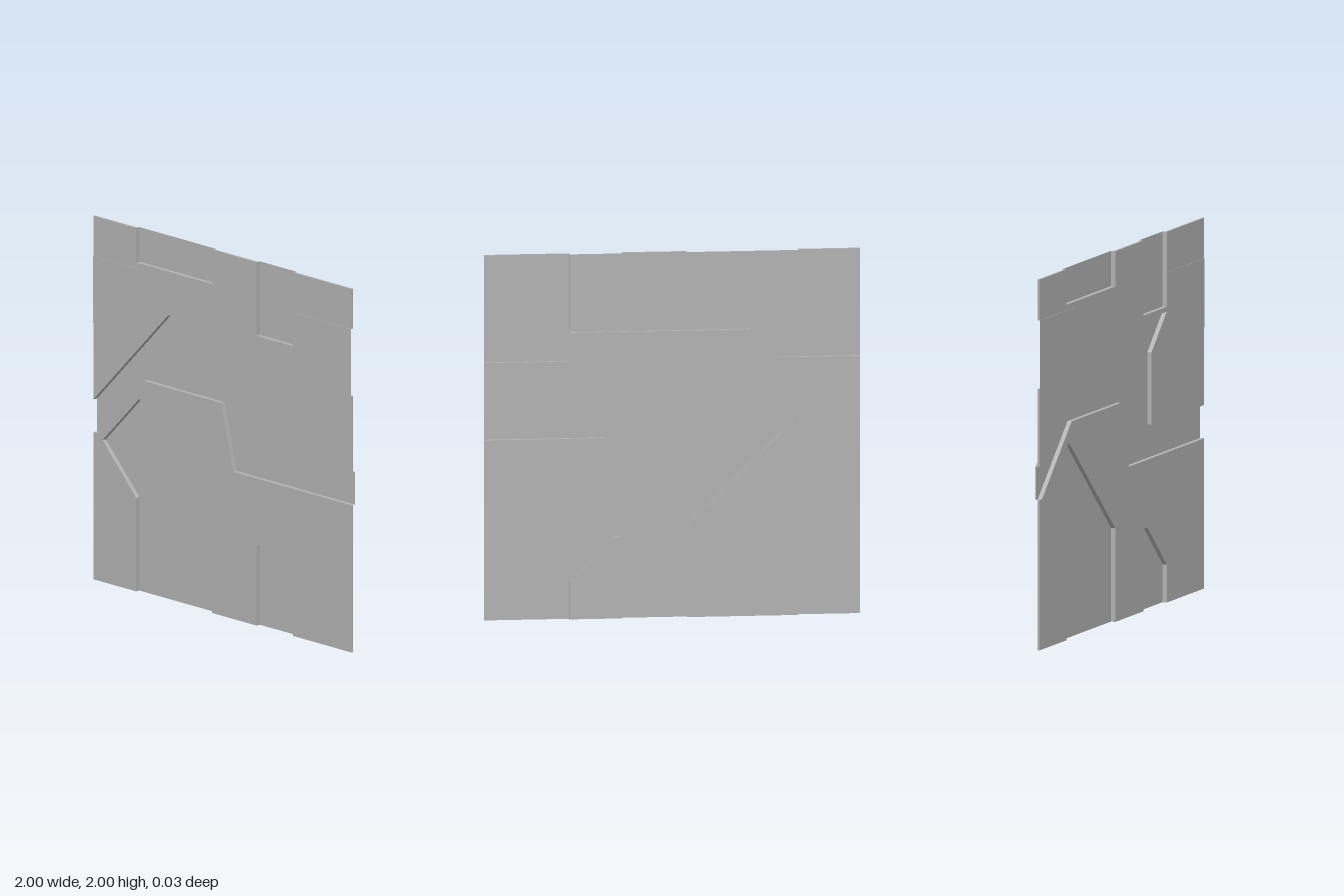
import * as THREE from 'three';

// Depth levels of the pressed panel
const FRONT = 0.0135, BASE_FRONT = 0.011, BASE_BACK = 0, BACK = -0.0135;

// Solid base plates between the pressed areas
const basePlates = {
  leftTriangle: [[-1, 0.99], [-0.58, 1.41], [-1, 1.41]],
  upperPlate: [[-1, 2], [-1, 1.78], [-0.58, 1.78], [-0.58, 1.41], [-0.42, 1.57], [0.545, 1.57], [0.545, 1.595],
    [0.265, 1.595], [0.265, 2], [-0.08, 2], [-0.08, 1.81], [-0.67, 1.81], [-0.67, 2]],
  upperCornerPlate: [[0.545, 1.78], [1, 1.78], [1, 2], [0.545, 2]],
  sidePlate: [[0.545, 1.57], [0.36, 1.38], [0.36, 0.99], [1, 0.99], [1, 1.41], [0.545, 1.41]],
  lowerPlate: [[-1, 0], [-0.67, 0], [-0.67, 0.515], [-0.93, 0.78], [-0.645, 1.065], [-0.08, 0.505], [-0.08, 0],
    [0.265, 0], [0.265, 0.445], [0.31, 0.445], [0.545, 0.205], [0.545, 0], [1, 0], [1, 0.81], [0.085, 0.81],
    [-0.01, 1.17], [-0.61, 1.17], [-0.97, 0.81], [-1, 0.81]],
};

// Areas pressed towards the back
const recesses = {
  recessedBand: [[-1, 0.81], [-0.97, 0.81], [-0.61, 1.17], [-0.01, 1.17], [0.085, 0.81], [1, 0.81], [1, 0.99],
    [0.36, 0.99], [0.36, 1.38], [0.545, 1.57], [-0.42, 1.57], [-1, 0.99]],
  recessedBentStrip: [[-0.67, 0], [-0.08, 0], [-0.08, 0.505], [-0.645, 1.065], [-0.93, 0.78], [-0.67, 0.515]],
  recessedWedge: [[0.265, 0], [0.545, 0], [0.545, 0.205], [0.31, 0.445], [0.265, 0.445]],
  recessedWideTab: [[-0.67, 1.81], [-0.08, 1.81], [-0.08, 2], [-0.67, 2]],
  recessedTallTab: [[0.265, 1.595], [0.545, 1.595], [0.545, 2], [0.265, 2]],
};

// Areas pressed towards the front
const raised = {
  raisedLeftBlock: [[-1, 1.41], [-0.58, 1.41], [-0.58, 1.78], [-1, 1.78]],
  raisedRightBlock: [[0.545, 1.41], [1, 1.41], [1, 1.78], [0.545, 1.78]],
};

const toShape = (points) => new THREE.Shape(points.map(([x, y]) => new THREE.Vector2(x, y)));

// True when an edge lies on the outer border of the panel
const onBorder = (a, b) =>
  (a[0] === b[0] && Math.abs(a[0]) === 1) || (a[1] === b[1] && (a[1] === 0 || a[1] === 2));

// Walls around an outline, left open along the panel border
function rimGeometry(points, z0, z1) {
  const pos = [];
  points.forEach((a, i) => {
    const b = points[(i + 1) % points.length];
    if (onBorder(a, b)) return;
    pos.push(...a, z0, ...b, z0, ...b, z1, ...a, z0, ...b, z1, ...a, z1);
  });
  const geometry = new THREE.BufferGeometry();
  geometry.setAttribute('position', new THREE.Float32BufferAttribute(pos, 3));
  geometry.computeVertexNormals();
  return geometry;
}

export function createModel() {
  const model = new THREE.Group();
  model.name = 'wallPanel';
  const grey = new THREE.MeshStandardMaterial({ color: 0xb2b2b2, side: THREE.DoubleSide });
  grey.name = 'panelGrey';

  for (const [name, points] of Object.entries(basePlates)) {
    const geometry = new THREE.ExtrudeGeometry(toShape(points), { depth: BASE_FRONT - BASE_BACK, bevelEnabled: false });
    geometry.translate(0, 0, BASE_BACK);
    const mesh = new THREE.Mesh(geometry, grey);
    mesh.name = name;
    model.add(mesh);
  }

  // A thin face at its own depth plus the walls joining it to the base
  const addPressed = (name, points, z, wallEnd) => {
    const group = new THREE.Group();
    group.name = name;
    const face = new THREE.Mesh(new THREE.ShapeGeometry(toShape(points)), grey);
    face.position.z = z;
    face.name = name + 'Face';
    const rim = new THREE.Mesh(rimGeometry(points, z, wallEnd), grey);
    rim.name = name + 'Walls';
    group.add(face, rim);
    model.add(group);
  };
  for (const [name, points] of Object.entries(recesses)) addPressed(name, points, BACK, BASE_BACK);
  for (const [name, points] of Object.entries(raised)) addPressed(name, points, FRONT, BASE_BACK);

  return model;
}
